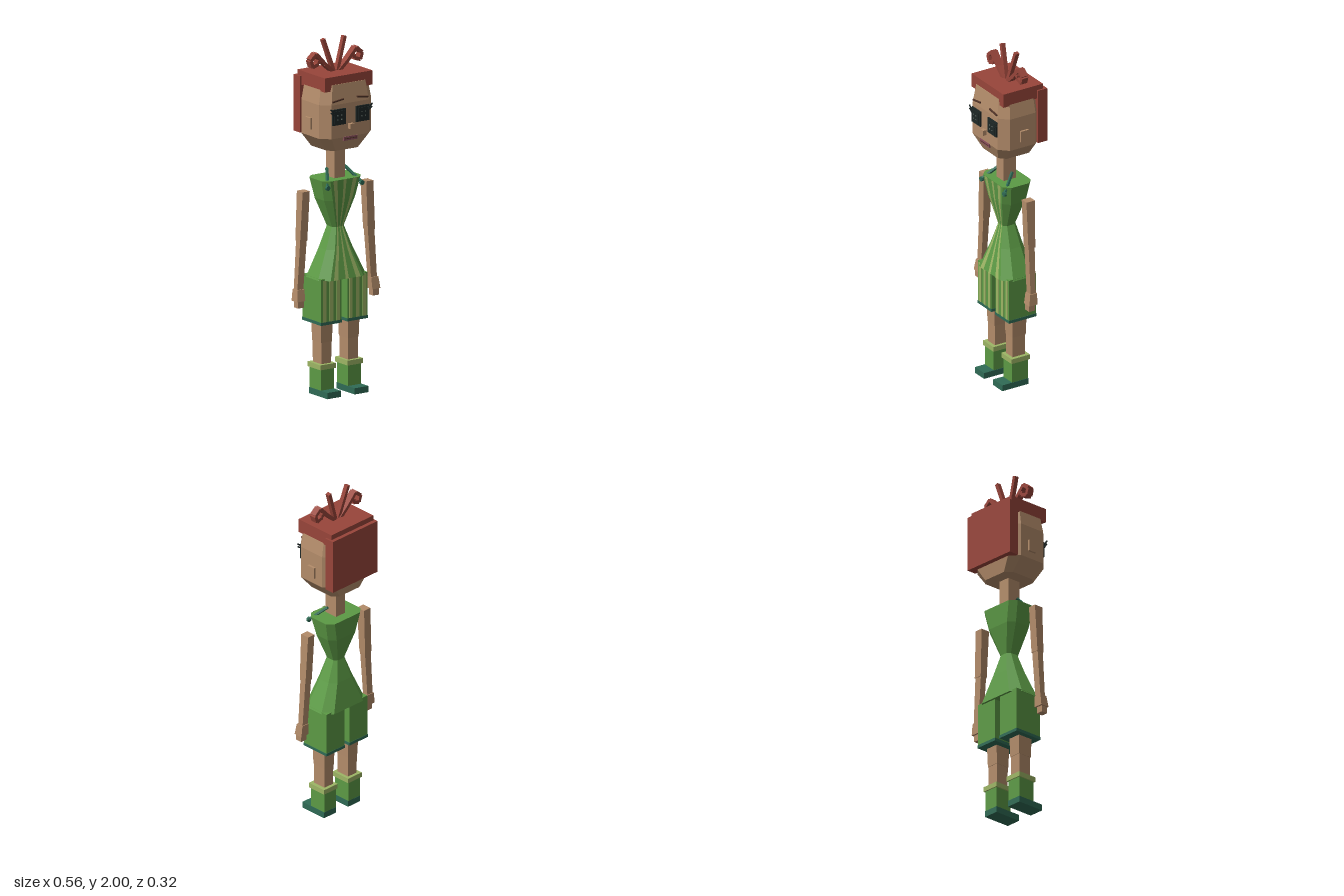
import * as THREE from 'three';

const mat = (name, color, side = THREE.FrontSide) => {
  const m = new THREE.MeshStandardMaterial({ color, side, flatShading: true });
  m.name = name;
  return m;
};

export function createModel() {
  const root = new THREE.Group();
  const skin = mat('skin', 0xb38c6a);
  const hair = mat('red hair', 0x98453a);
  const green = mat('green cloth', 0x5c9a45);
  const lime = mat('light green stripe', 0x9db565, THREE.DoubleSide);
  const teal = mat('teal trim', 0x2f6b55);
  const black = mat('button black', 0x1d2726);
  const grey = mat('thread grey', 0x6f7b74);
  const brown = mat('brow brown', 0x523428);
  const lip = mat('lip', 0x8a4f5c);

  const add = (name, geo, material, parent = root) => {
    const m = new THREE.Mesh(geo, material);
    m.name = name;
    parent.add(m);
    return m;
  };
  // Box from its minimum and maximum extents
  const box = (name, material, x0, x1, y0, y1, z0, z1) => {
    const m = add(name, new THREE.BoxGeometry(Math.abs(x1 - x0), y1 - y0, z1 - z0), material);
    m.position.set((x0 + x1) / 2, (y0 + y1) / 2, (z0 + z1) / 2);
    return m;
  };
  // Square bar between two points, turned in the xy plane
  const bar = (name, material, a, b, w, d) => {
    const A = new THREE.Vector3(...a), B = new THREE.Vector3(...b);
    const m = add(name, new THREE.BoxGeometry(w, A.distanceTo(B), d), material);
    m.position.copy(A).add(B).multiplyScalar(0.5);
    m.quaternion.setFromUnitVectors(new THREE.Vector3(0, 1, 0), B.sub(A).normalize());
    return m;
  };
  // Solid through sections [y, centreX, halfWidth, zFront, zBack, chamfer], bottom to top
  const loft = (name, material, sections) => {
    const rings = sections.map(([y, cx, w, f, b, c]) => {
      const p = c
        ? [[-w + c, f], [w - c, f], [w, f - c], [w, b + c], [w - c, b], [-w + c, b], [-w, b + c], [-w, f - c]]
        : [[-w, f], [w, f], [w, b], [-w, b]];
      return p.map(([x, z]) => [cx + x, y, z]);
    });
    const v = [], n = rings[0].length, top = rings[rings.length - 1];
    for (let r = 0; r < rings.length - 1; r++) {
      for (let i = 0; i < n; i++) {
        const j = (i + 1) % n, lo = rings[r], hi = rings[r + 1];
        v.push(...lo[i], ...lo[j], ...hi[j], ...lo[i], ...hi[j], ...hi[i]);
      }
    }
    for (let i = 1; i < n - 1; i++) {
      v.push(...top[0], ...top[i], ...top[i + 1]);
      v.push(...rings[0][0], ...rings[0][i + 1], ...rings[0][i]);
    }
    const g = new THREE.BufferGeometry();
    g.setAttribute('position', new THREE.Float32BufferAttribute(v, 3));
    g.computeVertexNormals();
    return add(name, g, material);
  };

  // Head
  loft('head', skin, [
    [1.39, 0, 0.11, 0.1, -0.115, 0.035],
    [1.47, 0, 0.175, 0.135, -0.13, 0.05],
    [1.66, 0, 0.175, 0.135, -0.13, 0.05],
    [1.77, 0, 0.155, 0.122, -0.12, 0.045],
  ]);
  box('neck', skin, -0.035, 0.035, 1.2, 1.4, -0.045, 0.037);
  box('nose', skin, -0.014, 0.014, 1.515, 1.545, 0.13, 0.157);
  box('mouth', lip, -0.045, 0.045, 1.45, 1.472, 0.125, 0.139);
  box('mouthLine', brown, -0.04, 0.04, 1.459, 1.463, 0.137, 0.141);

  // Hair
  box('hairCap', hair, -0.16, 0.16, 1.735, 1.815, -0.138, 0.119);
  box('hairBack', hair, -0.17, 0.17, 1.467, 1.785, -0.16, -0.1);

  // Torso with front stripes
  const torso = [
    [0.66, 0, 0.16, 0.105, -0.108, 0.05],
    [0.82, 0, 0.088, 0.065, -0.075, 0.035],
    [0.94, 0, 0.04, 0.035, -0.047, 0.017],
    [1.1, 0, 0.105, 0.07, -0.088, 0.035],
    [1.217, 0, 0.132, 0.085, -0.1, 0.035],
  ];
  loft('torso', green, torso);
  for (const u of [-0.68, 0, 0.68]) {
    const v = [], half = u ? 0.14 : 0.1;
    const pt = ([y, , w, f, , c], k) => [(w - c) * k, y, f + 0.003];
    for (let i = 0; i < torso.length - 1; i++) {
      const a = pt(torso[i], u - half), b = pt(torso[i], u + half);
      const c = pt(torso[i + 1], u + half), d = pt(torso[i + 1], u - half);
      v.push(...a, ...b, ...c, ...a, ...c, ...d);
    }
    const g = new THREE.BufferGeometry();
    g.setAttribute('position', new THREE.Float32BufferAttribute(v, 3));
    g.computeVertexNormals();
    add('torsoStripe', g, lime);
  }

  for (const s of [1, -1]) {
    // Face details
    box('ear', skin, s * 0.165, s * 0.188, 1.51, 1.575, -0.03, 0.022);
    box('eye', black, s * 0.036, s * 0.124, 1.546, 1.635, 0.133, 0.144);
    box('eyeButton', black, s * 0.046, s * 0.114, 1.556, 1.625, 0.143, 0.149);
    for (const dx of [-0.012, 0.012]) for (const dy of [-0.012, 0.012]) {
      const x = s * (0.08 + dx), y = 1.59 + dy;
      box('buttonHole', grey, x - 0.003, x + 0.003, y - 0.003, y + 0.003, 0.148, 0.151);
    }
    bar('eyelash', black, [s * 0.112, 1.615, 0.147], [s * 0.14, 1.64, 0.147], 0.008, 0.005);
    bar('eyelash', black, [s * 0.112, 1.603, 0.147], [s * 0.138, 1.622, 0.147], 0.008, 0.005);
    bar('eyebrow', brown, [s * 0.045, 1.687, 0.134], [s * 0.12, 1.677, 0.134], 0.008, 0.012);

    // Hair sprig and curled loop
    bar('hairSprig', hair, [s * 0.01, 1.805, -0.01], [s * 0.072, 1.996, -0.024], 0.02, 0.025);
    const curl = [[0.02, 1.81], [0.075, 1.86], [0.135, 1.925], [0.172, 1.893], [0.16, 1.855], [0.12, 1.868], [0.118, 1.888]];
    for (let i = 0; i < curl.length - 1; i++) {
      const [a, b] = [curl[i], curl[i + 1]];
      bar('hairCurl', hair, [s * a[0], a[1], -0.01], [s * b[0], b[1], -0.01], 0.02, 0.039);
    }

    // Straps and their buttons
    bar('strap', teal, [s * 0.115, 1.185, 0.083], [s * 0.058, 1.27, -0.004], 0.014, 0.012);
    const knob = add('strapButton', new THREE.CylinderGeometry(0.014, 0.014, 0.014, 8), teal);
    knob.rotation.x = Math.PI / 2;
    knob.position.set(s * 0.115, 1.182, 0.084);

    // Arm
    loft('forearm', skin, [[0.61, s * 0.248, 0.02, 0.012, -0.022, 0], [0.9, s * 0.227, 0.022, 0.013, -0.026, 0]]);
    loft('upperArm', skin, [[0.885, s * 0.228, 0.024, 0.016, -0.029, 0], [1.163, s * 0.214, 0.024, 0.02, -0.035, 0]]);
    loft('hand', skin, [[0.55, s * 0.253, 0.027, 0.028, -0.026, 0], [0.615, s * 0.249, 0.024, 0.018, -0.026, 0]]);
    box('fingers', skin, s * 0.232, s * 0.272, 0.513, 0.552, -0.015, 0.024);

    // Shorts leg
    box('shortsLeg', green, s * 0.02, s * 0.156, 0.425, 0.67, -0.095, 0.08);
    box('shortsHem', teal, s * 0.018, s * 0.158, 0.41, 0.427, -0.097, 0.082);
    for (const x of [0.042, 0.088, 0.134]) {
      box('shortsStripe', lime, s * (x - 0.011), s * (x + 0.011), 0.427, 0.662, 0.079, 0.083);
    }

    // Leg, sock and shoe
    loft('thigh', skin, [[0.3, s * 0.09, 0.036, 0.038, -0.048, 0], [0.42, s * 0.09, 0.039, 0.042, -0.052, 0]]);
    loft('shin', skin, [[0.15, s * 0.09, 0.033, 0.035, -0.045, 0], [0.31, s * 0.09, 0.034, 0.036, -0.046, 0]]);
    box('sockCuff', lime, s * 0.04, s * 0.144, 0.152, 0.18, -0.064, 0.055);
    box('boot', green, s * 0.048, s * 0.136, 0.03, 0.155, -0.057, 0.048);
    box('sole', teal, s * 0.046, s * 0.138, 0, 0.035, -0.058, 0.112);
  }
  return root;
}
